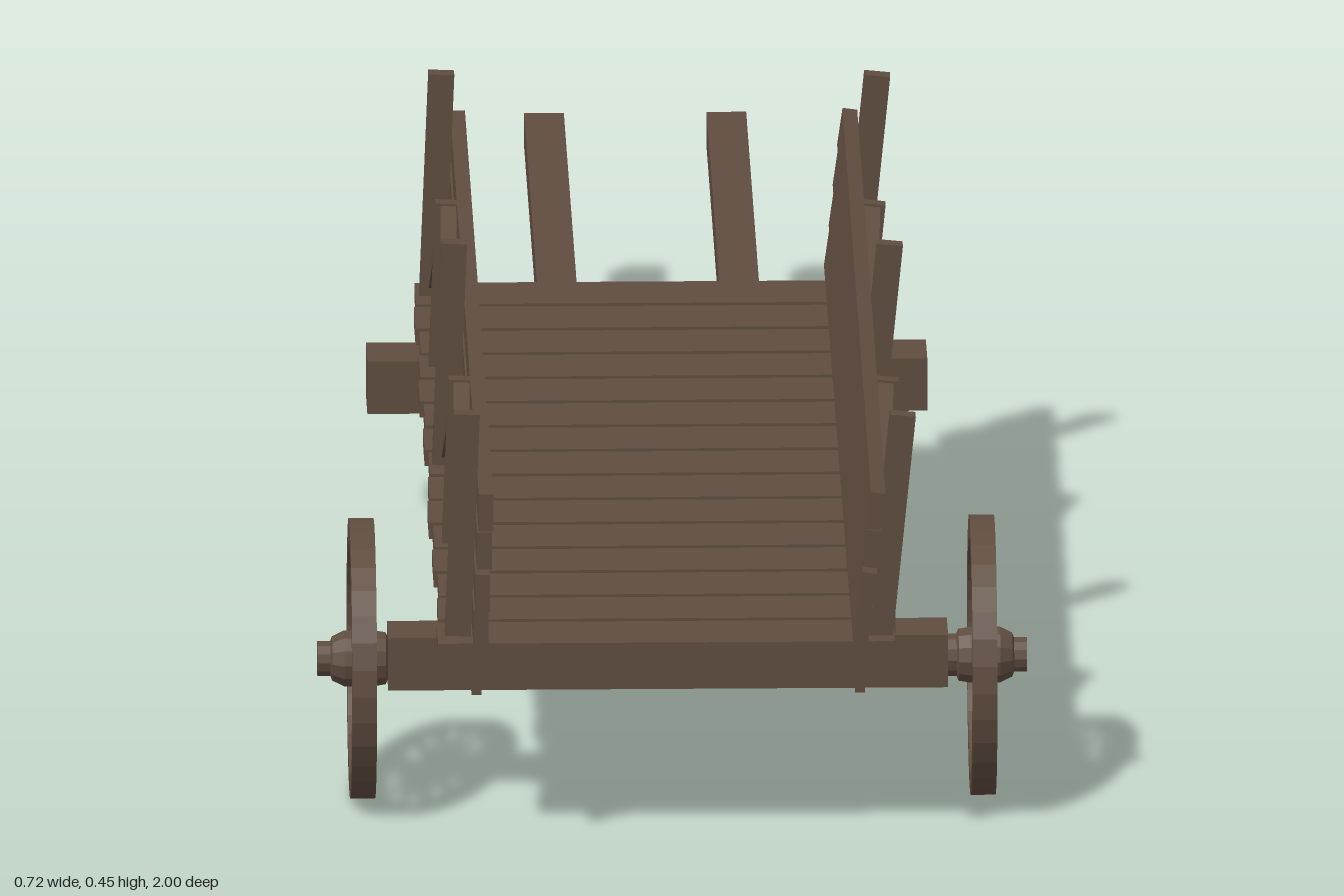
import * as THREE from 'three';

const wood = new THREE.MeshStandardMaterial({ color: 0x5f4c3f, flatShading: true });
wood.name = 'weatheredWood';

function add(parent, name, geometry, x = 0, y = 0, z = 0) {
  const mesh = new THREE.Mesh(geometry, wood);
  mesh.name = name;
  mesh.position.set(x, y, z);
  parent.add(mesh);
  return mesh;
}

// Box given by its limits on each axis
function span(parent, name, [x0, x1], [y0, y1], [z0, z1]) {
  return add(parent, name, new THREE.BoxGeometry(x1 - x0, y1 - y0, z1 - z0),
    (x0 + x1) / 2, (y0 + y1) / 2, (z0 + z1) / 2);
}

// Turned shape whose axis lies along x: profile points are [radius, x]
function turned(parent, name, profile, sides) {
  const geometry = new THREE.LatheGeometry(profile.map(([r, x]) => new THREE.Vector2(r, x)), sides);
  geometry.rotateZ(-Math.PI / 2);
  return add(parent, name, geometry);
}

// Spoked wheel with outward side towards local +x
function makeWheel() {
  const wheel = new THREE.Group();
  wheel.name = 'wheel';
  const w = 0.0125;
  turned(wheel, 'rim', [[0.119, -w], [0.142, -w], [0.142, w], [0.119, w], [0.119, -w]], 32);
  turned(wheel, 'hub', [[0, -0.036], [0.022, -0.036], [0.022, -0.026], [0.027, -0.024], [0.029, -0.012],
    [0.029, 0.018], [0.023, 0.03], [0.018, 0.032], [0.018, 0.045], [0, 0.045]], 12);
  const count = 14;
  for (let i = 0; i < count; i++) {
    const a = (i / count) * Math.PI * 2;
    const spoke = add(wheel, 'spoke', new THREE.BoxGeometry(0.011, 0.1, 0.008),
      0, Math.cos(a) * 0.073, Math.sin(a) * 0.073);
    spoke.rotation.x = a;
  }
  return wheel;
}

// Side wall standing on its foot at local y = 0, outside towards local +x
function makeWall() {
  const wall = new THREE.Group();
  wall.name = 'sideWall';
  const shifts = [-0.006, 0.004, 0, 0.005];
  shifts.forEach((shift, i) => {
    const board = add(wall, 'wallBoard', new THREE.BoxGeometry(0.015, 0.039, 1.365),
      0, 0.025 + i * 0.0425, 0.313 + shift);
    board.rotation.z = -0.04;
    board.rotation.x = shift * 0.4;
  });
  // Tall stakes and shorter studs
  for (const z of [0.92, 0.31, -0.295]) span(wall, 'stake', [0.008, 0.034], [0, 0.233], [z - 0.009, z + 0.009]);
  for (const z of [0.59, -0.04]) span(wall, 'stud', [0.008, 0.03], [0, 0.172], [z - 0.008, z + 0.008]);
  // Zigzag braces
  const zig = [[0.92, 0.012], [0.59, 0.165], [0.31, 0.012], [-0.04, 0.165], [-0.295, 0.012]];
  for (let i = 0; i < 4; i++) {
    const [z0, y0] = zig[i], [z1, y1] = zig[i + 1];
    const brace = add(wall, 'brace', new THREE.BoxGeometry(0.016, 0.015, Math.hypot(z1 - z0, y1 - y0)),
      0.017, (y0 + y1) / 2, (z0 + z1) / 2);
    brace.rotation.x = -Math.atan2(y1 - y0, z1 - z0);
  }
  return wall;
}

export function createModel() {
  const cart = new THREE.Group();
  cart.name = 'woodenCart';

  // Floor planks
  const pitch = 0.0867;
  for (let i = 0; i < 15; i++) {
    const z = 0.95 - i * pitch;
    const jog = ((i * 7) % 5 - 2) * 0.0012;
    span(cart, 'floorPlank', [-0.238 + jog, 0.223 + jog], [0.2, 0.217], [z - 0.077, z]);
  }

  // Long shafts under the floor
  for (const x of [-0.092, 0.092]) span(cart, 'shaft', [x - 0.02, x + 0.02], [0.164, 0.201], [-1, 0.8]);

  // Axle beam and rear cross beam with their straps
  for (const [name, z, half] of [['axleBeam', 0.745, 0.031], ['crossBeam', -0.247, 0.034]]) {
    span(cart, name, [-0.287, 0.278], [0.117, 0.172], [z - half, z + half]);
    for (const x of [-0.198, 0.189]) {
      span(cart, 'strap', [x - 0.005, x + 0.005], [0.113, 0.178], [z - half - 0.004, z + half + 0.004]);
    }
  }

  // Side walls, each leaning outwards by its own amount
  for (const [side, x, lean] of [[-1, -0.199, 0.04], [1, 0.185, 0.1]]) {
    const wall = makeWall();
    wall.position.set(x, 0.218, 0);
    if (side > 0) wall.rotation.z = -lean;
    else wall.rotation.set(0, Math.PI, lean);
    if (side < 0) {
      // Mirror end for end so both walls share the same layout along z
      wall.children.forEach((part) => {
        part.position.z *= -1;
        part.rotation.x *= -1;
      });
    }
    cart.add(wall);
  }

  // Wheels
  for (const side of [-1, 1]) {
    const wheel = makeWheel();
    wheel.position.set(side * 0.313, 0.142, 0.745);
    if (side < 0) wheel.rotation.y = Math.PI;
    cart.add(wheel);
  }
  return cart;
}
